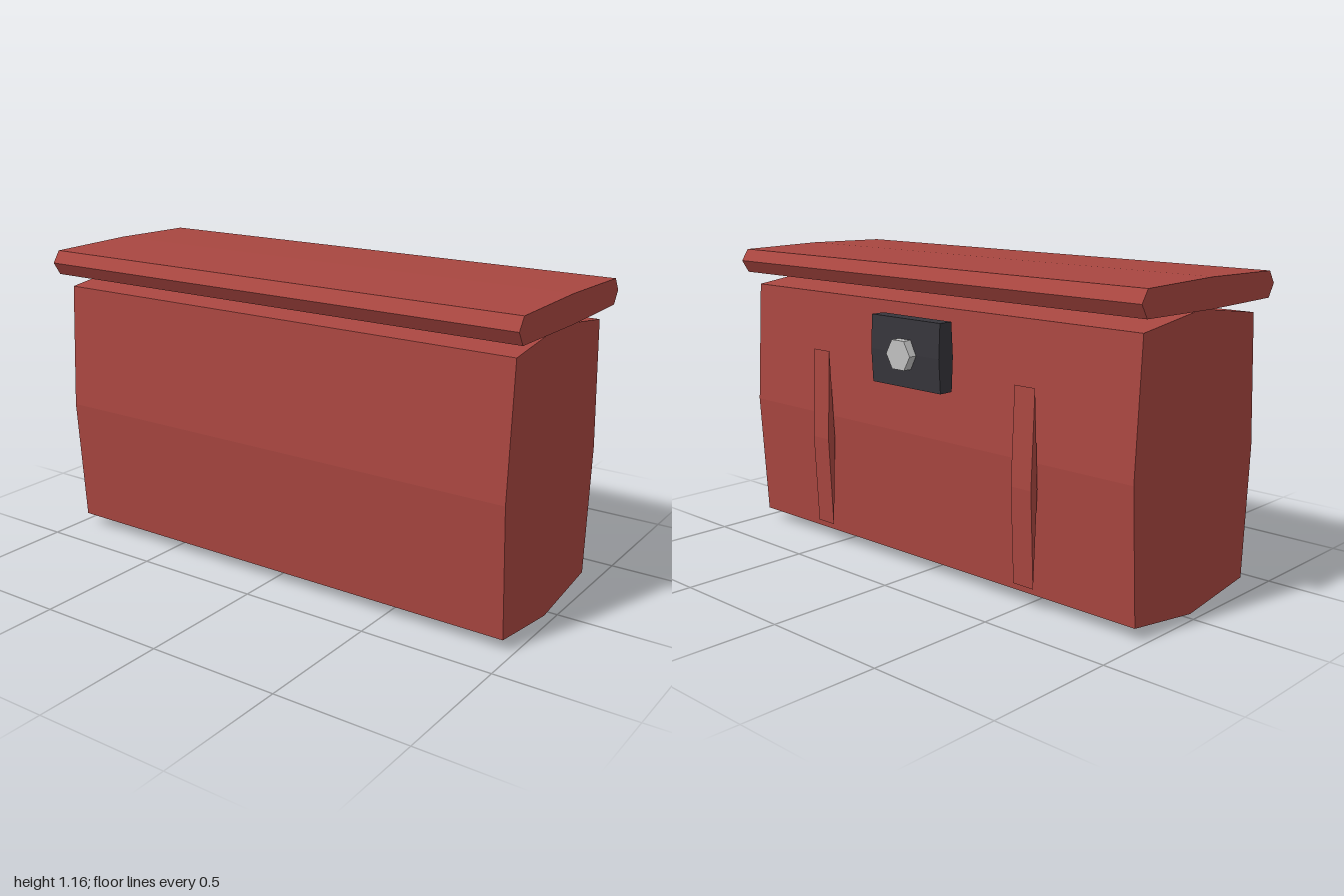
import * as THREE from 'three';

const red = new THREE.MeshStandardMaterial({ name: 'red', color: 0xa84640, flatShading: true });
const black = new THREE.MeshStandardMaterial({ name: 'black', color: 0x36353b, flatShading: true });
const silver = new THREE.MeshStandardMaterial({ name: 'silver', color: 0xc0c0c0, flatShading: true });

// Extrude a [z, y] side profile along x, centred on the given x
function sideProfile(name, points, width, material, x = 0) {
  const shape = new THREE.Shape(points.map(([z, y]) => new THREE.Vector2(z, y)));
  const geometry = new THREE.ExtrudeGeometry(shape, { depth: width, bevelEnabled: false });
  geometry.translate(0, 0, -width / 2).rotateY(-Math.PI / 2);
  const mesh = new THREE.Mesh(geometry, material);
  mesh.name = name;
  mesh.position.x = x;
  return mesh;
}

export function createModel() {
  const model = new THREE.Group();
  model.name = 'chest';

  // Body with gently bulging walls, base and top
  model.add(sideProfile('body', [
    [0.033, 0], [0.356, 0.045], [0.385, 0.53], [0.356, 1.01],
    [0.033, 1.053], [-0.289, 1.01], [-0.318, 0.53], [-0.289, 0.045],
  ], 1.93, red));

  // Overhanging lid with pointed long edges
  model.add(sideProfile('lid', [
    [0.033, 1.055], [0.39, 1.06], [0.42, 1.108], [0.39, 1.153],
    [0.033, 1.16], [-0.322, 1.153], [-0.352, 1.108], [-0.322, 1.06],
  ], 2, red));

  // Thin upright straps on the back, tapered at both ends
  for (const side of [-1, 1]) {
    model.add(sideProfile(side > 0 ? 'leftStrap' : 'rightStrap', [
      [-0.335, 0.088], [-0.318, 0.44], [-0.335, 0.79], [-0.351, 0.44],
    ], 0.09, red, side * 0.525));
  }

  // Lock plate
  model.add(sideProfile('lockPlate', [
    [-0.325, 0.72], [-0.318, 0.845], [-0.325, 0.97],
    [-0.381, 0.97], [-0.388, 0.845], [-0.381, 0.72],
  ], 0.35, black));

  // Hexagonal lock knob
  const knob = new THREE.CylinderGeometry(0.061, 0.061, 0.04, 6);
  knob.rotateY(Math.PI / 6).rotateX(Math.PI / 2);
  const lockKnob = new THREE.Mesh(knob, silver);
  lockKnob.name = 'lockKnob';
  lockKnob.position.set(0, 0.843, -0.399);
  model.add(lockKnob);

  return model;
}
